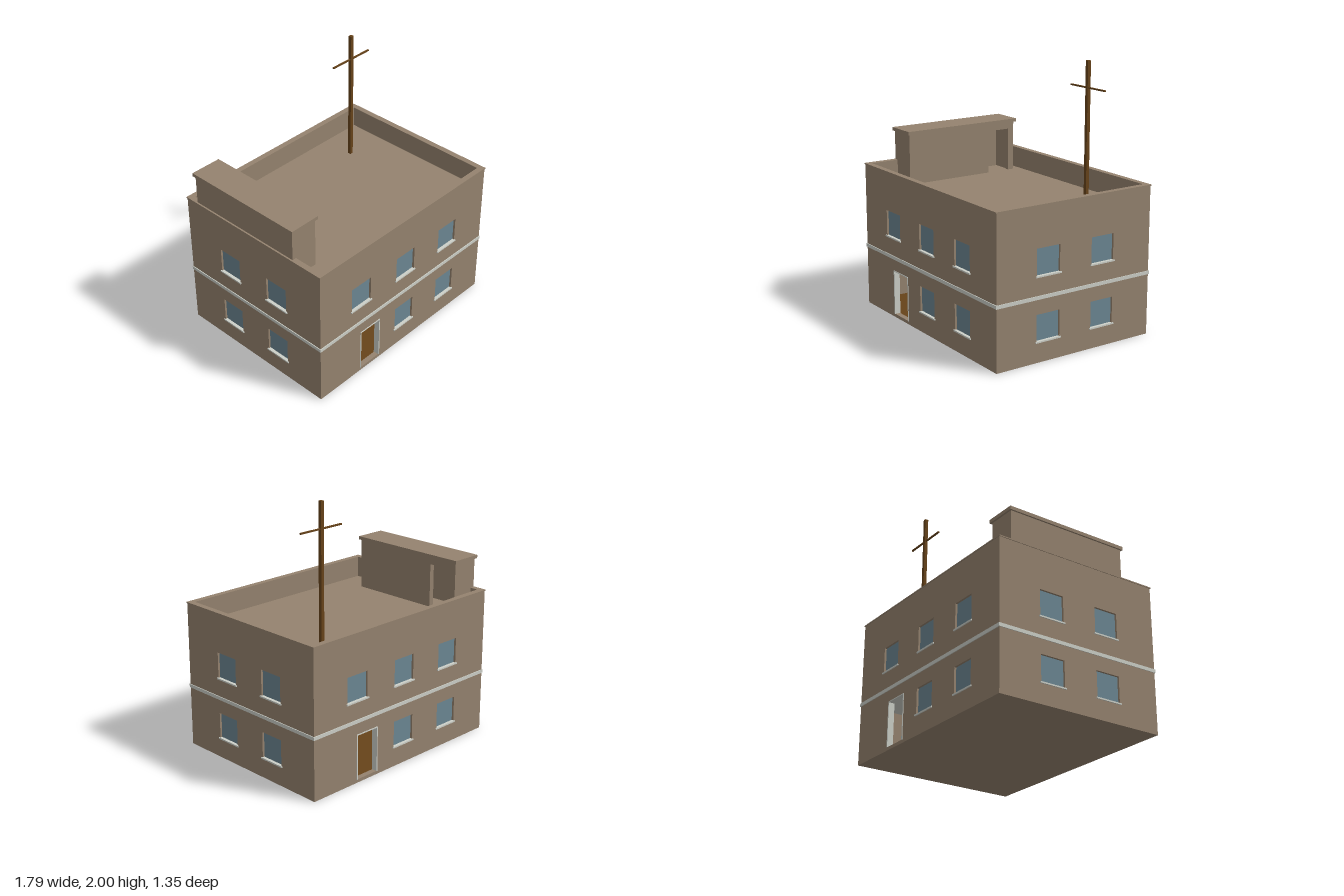
import * as THREE from 'three';

const mat = (name, color) => {
  const m = new THREE.MeshStandardMaterial({ color });
  m.name = name;
  return m;
};

export function createModel() {
  const wall = mat('brown plaster', 0x95836f);
  const glass = mat('blue glass', 0x6c8793);
  const trim = mat('pale trim', 0xcdd0c8);
  const wood = mat('dark wood', 0x67431a);

  const HX = 0.888, HZ = 0.668, T = 0.04, TOP = 1.12, ROOF = 0.965;
  const model = new THREE.Group();
  model.name = 'building';

  // Box given by its lower and upper limits on each axis
  const box = (parent, name, material, [x0, x1], [y0, y1], [z0, z1]) => {
    const mesh = new THREE.Mesh(new THREE.BoxGeometry(x1 - x0, y1 - y0, z1 - z0), material);
    mesh.position.set((x0 + x1) / 2, (y0 + y1) / 2, (z0 + z1) / 2);
    mesh.name = name;
    parent.add(mesh);
    return mesh;
  };

  const rect = (path, x0, x1, y0, y1) =>
    path.moveTo(x0, y0).lineTo(x1, y0).lineTo(x1, y1).lineTo(x0, y1).closePath();

  // Upright panel with rectangular holes; its outer face is at z = 0
  const panel = (parent, name, half, y0, y1, holes) => {
    const shape = rect(new THREE.Shape(), -half, half, y0, y1);
    holes.forEach(h => shape.holes.push(rect(new THREE.Path(), ...h)));
    const geo = new THREE.ExtrudeGeometry(shape, { depth: T, bevelEnabled: false });
    geo.translate(0, 0, -T);
    const mesh = new THREE.Mesh(geo, wall);
    mesh.name = name;
    parent.add(mesh);
  };

  // One side of the building with its windows, sills and optional door
  const facade = (name, half, dist, angle, centres, hasDoor) => {
    const side = new THREE.Group();
    side.name = name;
    side.rotation.y = angle;
    side.position.set(Math.sin(angle) * dist, 0, Math.cos(angle) * dist);
    const holes = [];
    for (const y of [0.155, 0.627]) {
      centres.forEach((c, i) => {
        if (hasDoor && y < 0.5 && i === 0) return;
        const x0 = c - 0.098, x1 = c + 0.098, y1 = y + 0.197;
        holes.push([x0, x1, y, y1]);
        box(side, 'windowPane', glass, [x0, x1], [y, y1], [-0.024, -0.016]);
        box(side, 'windowSill', trim, [c - 0.108, c + 0.108], [y - 0.009, y + 0.002], [-0.016, 0.008]);
      });
    }
    if (hasDoor) {
      const [x0, x1, y0, y1] = [-0.478, -0.27, 0.025, 0.372];
      holes.push([x0, x1, y0, y1]);
      const depth = [-T - 0.003, 0.004];
      box(side, 'doorJamb', trim, [x0, x0 + 0.008], [y0, y1], depth);
      box(side, 'doorJamb', trim, [x1 - 0.008, x1], [y0, y1], depth);
      box(side, 'doorHead', trim, [x0, x1], [y1 - 0.008, y1], depth);
    }
    panel(side, 'wall', half, 0, TOP, holes);
    // Belt course and parapet coping
    box(side, 'beltCourse', trim, [-half - 0.005, half + 0.005], [0.46, 0.486], [-0.01, 0.006]);
    box(side, 'coping', wall, [-half - 0.005, half + 0.005], [TOP, TOP + 0.009], [-T, 0.005]);
    model.add(side);
  };
  const wide = [-0.472, 0, 0.47], narrow = [-0.236, 0.236];
  facade('frontSide', HX, HZ, 0, wide, true);
  facade('backSide', HX, HZ, Math.PI, wide, true);
  facade('leftSide', HZ - 0.001, HX, Math.PI / 2, narrow, false);
  facade('rightSide', HZ - 0.001, HX, -Math.PI / 2, narrow, false);

  // Floors, ceilings and roof deck
  const ix = [-HX + T, HX - T], iz = [-HZ + T, HZ - T];
  box(model, 'baseSlab', wall, ix, [0, 0.018], iz);
  box(model, 'groundFloor', wood, ix, [0.018, 0.025], iz);
  box(model, 'lowerCeiling', trim, ix, [0.455, 0.475], iz);
  box(model, 'upperFloor', wood, ix, [0.475, 0.49], iz);
  box(model, 'upperCeiling', trim, ix, [0.915, 0.925], iz);
  box(model, 'roofDeck', wall, ix, [0.925, ROOF], iz);

  // Hollow stair house on the roof, its doorway facing the deck
  const house = new THREE.Group();
  house.name = 'stairHouse';
  model.add(house);
  const low = 0.945, high = 1.356;
  const doorSide = new THREE.Group();
  doorSide.name = 'doorSide';
  doorSide.rotation.y = Math.PI / 2;
  doorSide.position.set(-0.66, 0, -0.08);
  panel(doorSide, 'doorwayWall', 0.485, low, high, [[0.24, 0.435, ROOF, 1.302]]);
  house.add(doorSide);
  box(house, 'outerWall', wall, [-0.88, -0.845], [low, high], [-0.565, 0.405]);
  box(house, 'frontWall', wall, [-0.845, -0.7], [low, high], [0.365, 0.405]);
  box(house, 'backWall', wall, [-0.845, -0.7], [low, high], [-0.565, -0.525]);
  box(house, 'roofSlab', wall, [-0.893, -0.646], [high, 1.382], [-0.58, 0.42]);

  // Wooden mast with a crossbar
  const mast = new THREE.Group();
  mast.name = 'mast';
  model.add(mast);
  box(mast, 'pole', wood, [0.515, 0.541], [ROOF - 0.01, 2], [-0.384, -0.358]);
  box(mast, 'crossbar', wood, [0.336, 0.72], [1.8, 1.811], [-0.377, -0.365]);

  return model;
}
